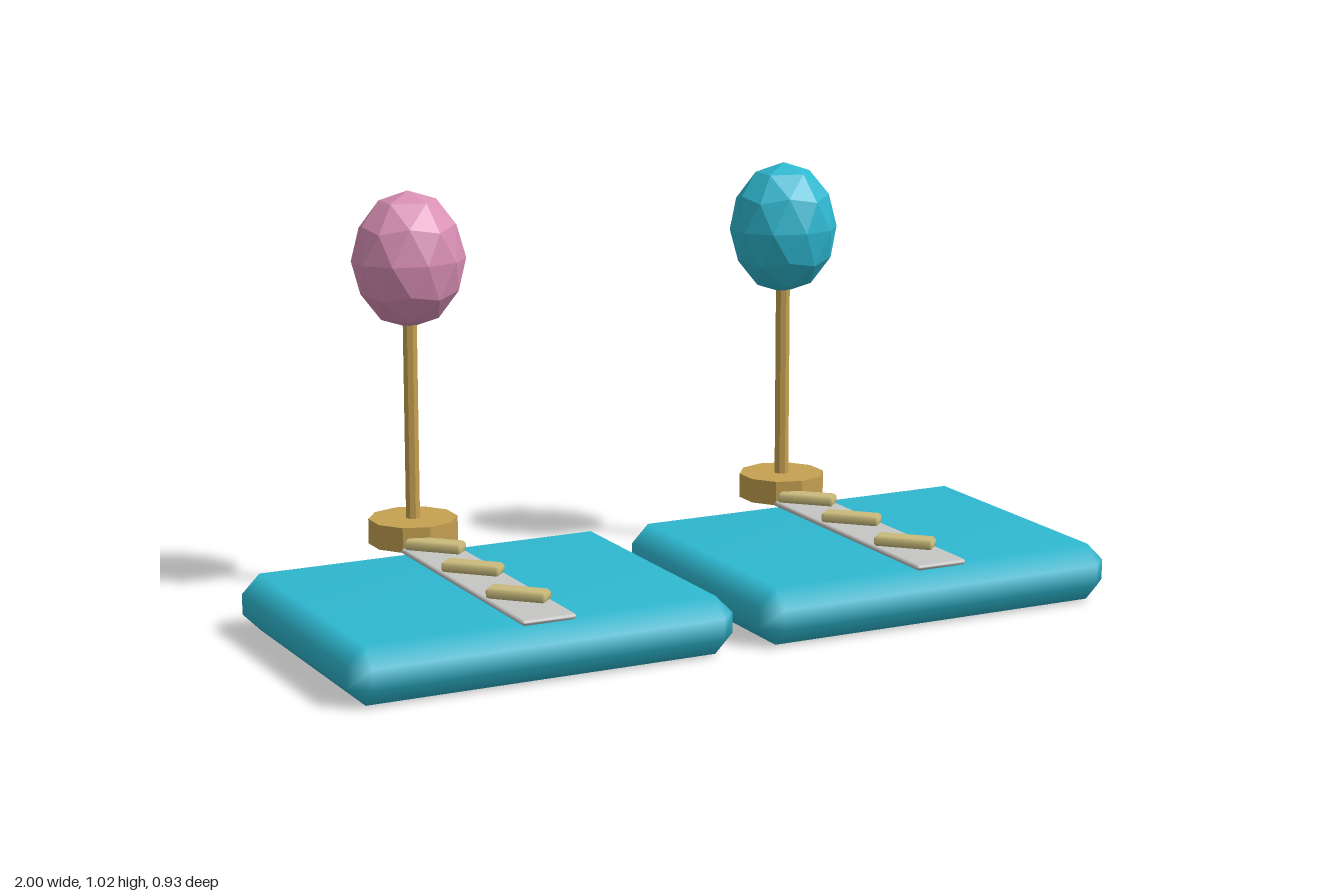
import * as THREE from 'three';
import { mergeVertices } from 'three/addons/utils/BufferGeometryUtils.js';
import { ConvexGeometry } from 'three/addons/geometries/ConvexGeometry.js';

const material = (name, color, flatShading = false) => {
  const m = new THREE.MeshStandardMaterial({ color, flatShading });
  m.name = name;
  return m;
};

// Box with one chamfer on every edge, smooth-shaded across the chamfers
function chamferBox(w, h, d, b) {
  const points = [];
  for (const x of [-1, 1]) for (const y of [-1, 1]) for (const z of [-1, 1]) {
    for (let axis = 0; axis < 3; axis++) {
      const inset = [b, b, b];
      inset[axis] = 0;
      points.push(new THREE.Vector3(
        x * (w / 2 - inset[0]), y * (h / 2 - inset[1]), z * (d / 2 - inset[2])));
    }
  }
  const hull = new ConvexGeometry(points);
  hull.deleteAttribute('normal');
  const geometry = mergeVertices(hull, 1e-5);
  geometry.computeVertexNormals();
  return geometry;
}

// Faceted ball standing on one of its vertices
function facetedBall(rx, ry, rz) {
  const g = new THREE.IcosahedronGeometry(1, 1);
  g.rotateZ(-Math.atan(2 / (1 + Math.sqrt(5))));
  g.scale(rx, ry, rz);
  return g;
}

export function createModel() {
  const teal = material('teal', 0x2eb8d0);
  const tealFacets = material('tealFacets', 0x2eb8d0, true);
  const pinkFacets = material('pinkFacets', 0xd98fb5, true);
  const gold = material('gold', 0xc6a152, true);
  const paleGold = material('paleGold', 0xcabb7c);
  const grey = material('lightGrey', 0xc6c7c4);

  const slabGeo = chamferBox(0.965, 0.14, 0.755, 0.045);
  const stripGeo = chamferBox(0.135, 0.014, 0.72, 0.005);
  const barGeo = chamferBox(0.146, 0.028, 0.05, 0.007);
  const baseGeo = new THREE.CylinderGeometry(0.11, 0.11, 0.062, 10);
  const poleGeo = new THREE.CylinderGeometry(0.0185, 0.0185, 0.5, 8);
  const ballGeo = facetedBall(0.142, 0.168, 0.1225);

  function station(name, x, ballMaterial) {
    const group = new THREE.Group();
    group.name = name;
    const add = (part, geometry, mat, y, z) => {
      const mesh = new THREE.Mesh(geometry, mat);
      mesh.name = part;
      mesh.position.set(0, y, z);
      group.add(mesh);
      return mesh;
    };
    // Slab with a centre strip and slanted bars
    add('slab', slabGeo, teal, 0.07, 0.0875);
    add('strip', stripGeo, grey, 0.147, 0.09);
    [0.278, 0.02, -0.205].forEach((z, i) => {
      add('slantedBar' + (i + 1), barGeo, paleGold, 0.165, z).rotation.y = -Math.PI / 4;
    });
    // Post with a faceted ball behind the slab
    add('postBase', baseGeo, gold, 0.174, -0.3425);
    add('post', poleGeo, gold, 0.45, -0.3425);
    add('ball', ballGeo, ballMaterial, 0.848, -0.3425);
    group.position.x = x;
    return group;
  }

  const model = new THREE.Group();
  model.name = 'twinStations';
  model.add(station('leftStation', 0.5175, tealFacets));
  model.add(station('rightStation', -0.5175, pinkFacets));
  return model;
}
